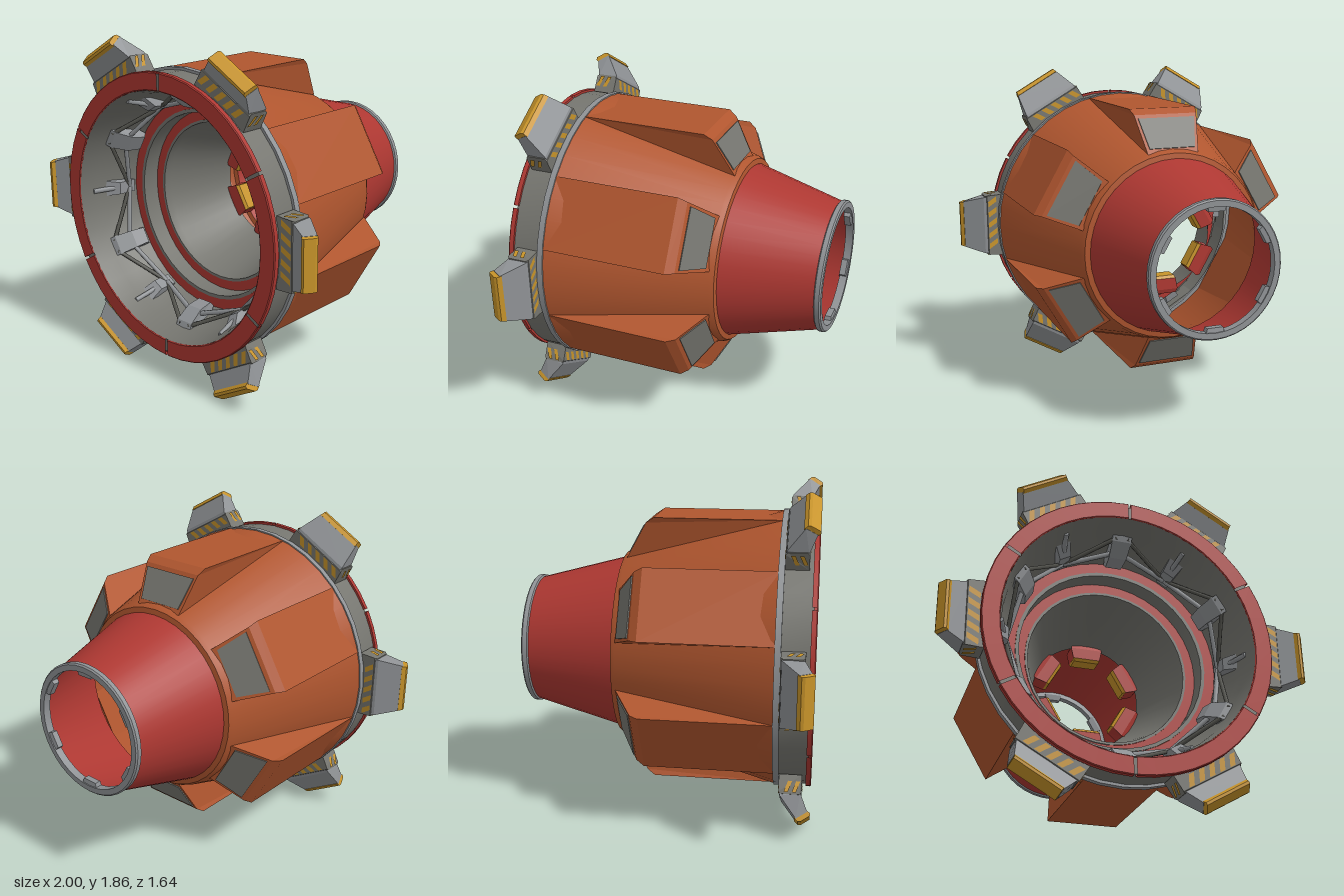
import * as THREE from 'three';
import { toCreasedNormals } from 'three/addons/utils/BufferGeometryUtils.js';

const paint = (name, color) => {
  const m = new THREE.MeshStandardMaterial({ color, side: THREE.DoubleSide });
  m.name = name;
  return m;
};

export function createModel() {
  const orange = paint('burnt orange', 0xb0562f);
  const red = paint('red', 0xae3832);
  const grey = paint('hull grey', 0x767670);
  const light = paint('light grey', 0x8f9295);
  const dark = paint('dark grey', 0x55554f);
  const yellow = paint('warning yellow', 0xc8942a);

  const model = new THREE.Group();
  const body = new THREE.Group(); // local z is the hull axis
  body.name = 'hull';
  body.position.y = 0.93;
  model.add(body);

  const add = (parent, name, geo, mat) => {
    const mesh = new THREE.Mesh(geo, mat);
    mesh.name = name;
    parent.add(mesh);
    return mesh;
  };

  // Surface of revolution around z from [radius, z] points
  const turned = (name, mat, pts, start = 0, length = Math.PI * 2, segs = 40) => {
    const geo = new THREE.LatheGeometry(pts.map(p => new THREE.Vector2(p[0], p[1])), segs, start, length);
    geo.rotateX(Math.PI / 2);
    return add(body, name, toCreasedNormals(geo, 0.5), mat);
  };

  // Prism from a convex profile of [radius, z, halfWidth], spanning local y
  const prism = (points) => {
    const n = points.length;
    let area = 0;
    points.forEach((p, i) => {
      const q = points[(i + 1) % n];
      area += p[1] * q[0] - q[1] * p[0];
    });
    const pts = area > 0 ? points : [...points].reverse();
    const at = (i, s) => [pts[i % n][0], s * pts[i % n][2], pts[i % n][1]];
    const pos = [];
    for (let i = 0; i < n; i++) {
      const a = at(i, -1), b = at(i + 1, -1), c = at(i + 1, 1), d = at(i, 1);
      pos.push(...a, ...b, ...c, ...a, ...c, ...d);
    }
    for (let i = 1; i < n - 1; i++) {
      pos.push(...at(0, 1), ...at(i, 1), ...at(i + 1, 1));
      pos.push(...at(0, -1), ...at(i + 1, -1), ...at(i, -1));
    }
    const geo = new THREE.BufferGeometry();
    geo.setAttribute('position', new THREE.Float32BufferAttribute(pos, 3));
    geo.computeVertexNormals();
    return geo;
  };

  // Row of slanted stripes filling a width x height patch in the xy plane
  const stripes = (width, height, count) => {
    const pitch = width / (count + 0.5);
    const shapes = [];
    for (let i = 0; i < count; i++) {
      const x = -width / 2 + i * pitch, h = height / 2;
      shapes.push(new THREE.Shape([
        new THREE.Vector2(x, -h), new THREE.Vector2(x + pitch * 0.5, -h),
        new THREE.Vector2(x + pitch, h), new THREE.Vector2(x + pitch * 0.5, h)]));
    }
    return new THREE.ShapeGeometry(shapes);
  };

  const rod = (parent, name, a, b, radius, mat) => {
    const va = new THREE.Vector3(...a), vb = new THREE.Vector3(...b);
    const mesh = add(parent, name, new THREE.CylinderGeometry(radius, radius, va.distanceTo(vb), 6), mat);
    mesh.position.copy(va).lerp(vb, 0.5);
    mesh.quaternion.setFromUnitVectors(new THREE.Vector3(0, 1, 0), vb.sub(va).normalize());
  };

  // Outer shell
  turned('shell', orange, [[0.5, -0.28], [0.53, -0.275], [0.545, -0.25], [0.785, 0.62]]);
  turned('rearCone', red, [[0.365, -0.785], [0.5, -0.28]]);
  turned('rearRim', light, [[0.365, -0.78], [0.375, -0.787], [0.375, -0.812], [0.367, -0.82],
    [0.335, -0.82], [0.335, -0.775], [0.365, -0.78]]);
  turned('flange', light, [[0.76, 0.612], [0.79, 0.612], [0.79, 0.645], [0.77, 0.645]]);
  turned('frontBand', grey, [[0.775, 0.645], [0.775, 0.8], [0.69, 0.8]]);

  // Front ring in six pieces with narrow gaps
  for (let i = 0; i < 6; i++) {
    turned('frontRing', red, [[0.775, 0.79], [0.788, 0.79], [0.788, 0.815], [0.783, 0.82],
      [0.695, 0.82], [0.69, 0.815], [0.69, 0.79]], i * Math.PI / 3 + 0.01, Math.PI / 3 - 0.02, 8);
  }

  // Stepped interior
  turned('innerBarrel', grey, [[0.69, 0.815], [0.665, 0.71], [0.655, 0.62], [0.6, 0.48]]);
  turned('outerStep', red, [[0.6, 0.48], [0.54, 0.48]]);
  turned('stepWall', grey, [[0.54, 0.485], [0.52, 0.485], [0.52, 0.38]]);
  turned('innerStep', red, [[0.52, 0.385], [0.465, 0.385]]);
  turned('funnel', grey, [[0.465, 0.39], [0.45, 0.39], [0.445, 0.34], [0.33, 0], [0.32, -0.03]]);

  // Everything repeated at the pod angles
  for (let i = 0; i < 6; i++) {
    const sector = new THREE.Group();
    sector.name = 'podSector';
    sector.rotation.z = Math.PI / 6 + i * Math.PI / 3;
    body.add(sector);

    add(sector, 'pod', prism([[0.76, 0.62, 0.2], [0.76, -0.09, 0.2],
      [0.73, -0.135, 0.187], [0.525, -0.25, 0.15]]), orange);

    // window plate on the sloped pod end
    const slope = (t, lift, w) => [0.73 - 0.205 * t + 0.489 * lift, -0.135 - 0.115 * t - 0.872 * lift, w];
    add(sector, 'window', prism([slope(0.1, 0, 0.168), slope(0.1, 0.006, 0.168),
      slope(0.87, 0.006, 0.135), slope(0.87, 0, 0.135)]), grey);

    // locking pad behind the funnel
    add(sector, 'lockPad', prism([[0.325, -0.01, 0.085], [0.325, -0.09, 0.085],
      [0.3, -0.1, 0.095], [0.232, -0.1, 0.08], [0.232, 0, 0.08], [0.3, 0, 0.095]]), red);
    add(sector, 'lockPadEdge', prism([[0.234, 0.002, 0.08], [0.234, -0.102, 0.08],
      [0.218, -0.09, 0.074], [0.218, -0.01, 0.074]]), yellow);

    // tab inside the rear rim
    add(sector, 'rearTab', prism([[0.345, -0.815, 0.055], [0.345, -0.77, 0.055],
      [0.308, -0.775, 0.045], [0.308, -0.81, 0.045]]), light);

    // bracket and braces inside the front barrel
    add(sector, 'bracket', prism([[0.68, 0.7, 0.055], [0.68, 0.56, 0.055], [0.58, 0.5, 0.05],
      [0.555, 0.52, 0.045], [0.57, 0.6, 0.05], [0.63, 0.68, 0.055]]), light);
    const c = Math.cos(Math.PI / 6), s = Math.sin(Math.PI / 6);
    for (const side of [-1, 1]) {
      rod(sector, 'brace', [0.6, side * 0.03, 0.6], [0.6 * c, side * 0.6 * s, 0.53], 0.014, light);
      rod(sector, 'brace', [0.65, side * 0.03, 0.68], [0.6 * c, side * 0.6 * s, 0.53], 0.012, dark);
    }
  }

  // Clamps around the front ring, between the pods
  for (let i = 0; i < 6; i++) {
    const clamp = new THREE.Group();
    clamp.name = 'clamp';
    clamp.rotation.z = i * Math.PI / 3;
    body.add(clamp);

    add(clamp, 'clampBase', prism([[0.755, 0.647, 0.19], [0.85, 0.647, 0.185],
      [0.86, 0.66, 0.18], [0.86, 0.76, 0.18], [0.85, 0.77, 0.185], [0.755, 0.77, 0.19]]), grey);
    add(clamp, 'clampArm', prism([[0.85, 0.65, 0.175], [0.87, 0.655, 0.175], [0.985, 0.745, 0.14],
      [0.945, 0.805, 0.14], [0.85, 0.765, 0.175]]), light);
    add(clamp, 'clampTip', prism([[0.98, 0.735, 0.14], [0.998, 0.755, 0.136], [0.998, 0.772, 0.136],
      [0.965, 0.82, 0.136], [0.95, 0.82, 0.136], [0.937, 0.802, 0.14]]), yellow);

    // warning stripes on the front, back and ends of the base
    const front = add(clamp, 'frontStripes', stripes(0.36, 0.06, 5), yellow);
    front.position.set(0.815, 0, 0.773);
    front.rotation.z = -Math.PI / 2;
    const back = add(clamp, 'backStripes', stripes(0.36, 0.05, 5), yellow);
    back.position.set(0.82, 0, 0.644);
    back.rotation.z = -Math.PI / 2;
    for (const side of [-1, 1]) {
      const end = add(clamp, 'endStripes', stripes(0.11, 0.06, 2), yellow);
      end.geometry.rotateX(Math.PI / 2).rotateY(Math.PI / 2);
      end.position.set(0.82, side * 0.192, 0.708);
    }

    // small latch inside the barrel
    add(clamp, 'latch', prism([[0.66, 0.66, 0.045], [0.66, 0.52, 0.045],
      [0.59, 0.5, 0.035], [0.6, 0.6, 0.035]]), light);
    rod(clamp, 'latchBar', [0.67, 0, 0.74], [0.6, 0, 0.52], 0.014, light);
  }

  return model;
}
